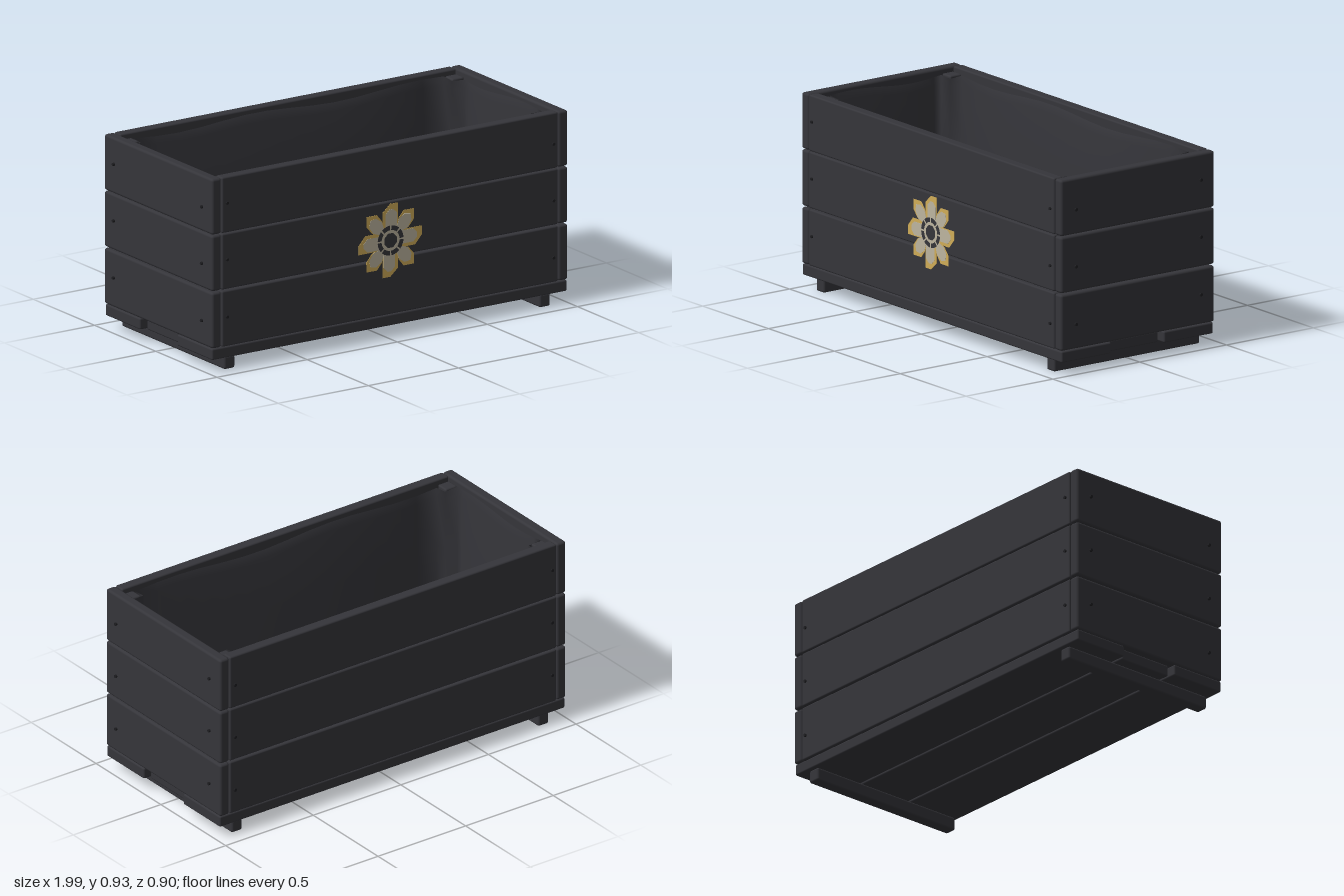
import * as THREE from 'three';
import { RoundedBoxGeometry } from 'three/addons/geometries/RoundedBoxGeometry.js';

const mat = (name, color, side = THREE.FrontSide) => {
  const m = new THREE.MeshStandardMaterial({ color, side });
  m.name = name;
  return m;
};

export function createModel() {
  const wood = mat('charcoal wood', 0x35353a);
  const cloth = mat('liner cloth', 0x35353a, THREE.DoubleSide);
  const metal = mat('screw metal', 0x1e1e21);
  const cream = mat('cream paint', 0xbdb59f);
  const gold = mat('gold paint', 0xd0ac58);
  const model = new THREE.Group();

  const add = (name, geo, material, x = 0, y = 0, z = 0, parent = model) => {
    const mesh = new THREE.Mesh(geo, material);
    mesh.name = name;
    mesh.position.set(x, y, z);
    parent.add(mesh);
    return mesh;
  };
  // Softly rounded board given by its extents
  const board = (name, x0, x1, y0, y1, z0, z1, r = 0.008) =>
    add(name, new RoundedBoxGeometry(x1 - x0, y1 - y0, z1 - z0, 2, r), wood,
      (x0 + x1) / 2, (y0 + y1) / 2, (z0 + z1) / 2);

  // Wall planks in three rows, with two screws in each
  const screw = new THREE.CylinderGeometry(0.007, 0.008, 0.012, 10);
  for (const y0 of [0.118, 0.392, 0.663]) {
    const y1 = y0 + 0.267;
    for (const s of [-1, 1]) {
      const z = s * 0.416, x = s * 0.961;
      board('sidePlank', -0.932, 0.932, y0, y1, z - 0.026, z + 0.026);
      board('endPlank', x - 0.026, x + 0.026, y0, y1, -0.442, 0.442, 0.012);
      for (const t of [-1, 1]) {
        const y = y0 + 0.13 - t * 0.012;
        add('sideScrew', screw, metal, t * 0.905, y, s * 0.443).rotation.x = Math.PI / 2;
        add('endScrew', screw, metal, s * 0.99, y, t * 0.36).rotation.z = Math.PI / 2;
      }
    }
  }

  // Floor boards with open gaps, runners underneath, corner posts inside
  board('floorBoard', -0.985, 0.985, 0.062, 0.116, 0.152, 0.438);
  board('floorBoard', -0.955, 0.955, 0.062, 0.116, -0.141, 0.141);
  board('floorBoard', -0.985, 0.985, 0.062, 0.116, -0.436, -0.152);
  for (const s of [-1, 1]) {
    board('runner', s * 0.875 - 0.03, s * 0.875 + 0.03, 0, 0.063, -0.42, 0.42, 0.01);
    for (const t of [-1, 1]) {
      board('cornerPost', s * 0.902 - 0.032, s * 0.902 + 0.032, 0.118, 0.905,
        t * 0.36 - 0.032, t * 0.36 + 0.032);
    }
  }

  // Cloth liner: notched outline, sagging inward between the posts
  const outline = (inset) => {
    const pts = [], n = 14;
    const side = (ax, az, bx, bz, nx, nz, sag) => {
      for (let i = 0; i <= n; i++) {
        const t = i / n, d = sag * Math.pow(Math.sin(Math.PI * t), 0.6);
        pts.push([ax + (bx - ax) * t - nx * d, az + (bz - az) * t - nz * d]);
      }
    };
    side(-0.86, 0.386, 0.86, 0.386, 0, 1, inset);
    pts.push([0.862, 0.322]);
    side(0.93, 0.32, 0.93, -0.32, 1, 0, inset * 0.6);
    pts.push([0.862, -0.322]);
    side(0.86, -0.386, -0.86, -0.386, 0, -1, inset);
    pts.push([-0.862, -0.322]);
    side(-0.93, -0.32, -0.93, 0.32, -1, 0, inset * 0.6);
    pts.push([-0.862, 0.322]);
    return pts;
  };
  const levels = [[0.9, 0.008], [0.86, 0.022], [0.6, 0.04], [0.3, 0.05], [0.13, 0.06]];
  const pos = [], idx = [];
  const count = outline(0).length;
  levels.forEach(([y, inset], k) => outline(inset).forEach(([x, z], i) => {
    const wave = k < 2 ? 0.012 * Math.sin(x * 7 + z * 9) : 0;
    pos.push(x, y + wave, z);
    if (k === 0) return;
    const j = (i + 1) % count, a = (k - 1) * count, b = k * count;
    idx.push(a + i, a + j, b + i, a + j, b + j, b + i);
  }));
  const liner = new THREE.BufferGeometry();
  liner.setAttribute('position', new THREE.Float32BufferAttribute(pos, 3));
  liner.setIndex(idx);
  liner.computeVertexNormals();
  add('linerWall', liner, cloth);
  const floorShape = new THREE.Shape(outline(0.06).map(([x, z]) => new THREE.Vector2(x, -z)));
  add('linerFloor', new THREE.ShapeGeometry(floorShape).rotateX(-Math.PI / 2), cloth, 0, 0.13, 0);

  // Painted blocky flower on the front, as thin plates
  const flower = new THREE.Group();
  flower.name = 'flower';
  flower.position.set(0, 0.473, 0.4415);
  model.add(flower);
  const U = 0.0053;
  const plate = (name, points, material, z) => {
    const shape = new THREE.Shape(points.map(([x, y]) => new THREE.Vector2(x * U, y * U)));
    add(name, new THREE.ExtrudeGeometry(shape, { depth: 0.002, bevelEnabled: false }),
      material, 0, 0, z, flower);
  };
  const straight = [[-8, 8], [8, 8], [8, 33], [0, 33], [-8, 26]];
  const straightFill = [[-5, 8], [7, 8], [7, 24], [3, 28], [-1, 28], [-5, 24]];
  const diagonal = [[4, 4], [19, 9], [25, 16], [25, 25], [14, 25], [9, 19]];
  const diagonalFill = [[4, 4], [18, 9], [22, 15], [21, 21], [15, 22], [9, 18]];
  const turns = [([x, y]) => [x, y], ([x, y]) => [y, x], ([x, y]) => [-y, -x], ([x, y]) => [-x, -y]];
  const quarters = [[1, 1], [1, -1], [-1, -1], [-1, 1]];
  for (let i = 0; i < 4; i++) {
    const flip = ([x, y]) => [x * quarters[i][0], y * quarters[i][1]];
    plate('petalEdge', straight.map(turns[i]), gold, 0);
    plate('petalEdge', diagonal.map(flip), gold, 0.0003);
    plate('petal', straightFill.map(turns[i]), cream, 0.001);
    plate('petal', diagonalFill.map(flip), cream, 0.0013);
  }
  // Flower centre: broken dark ring, cream ring, dark eye
  const disc = (name, r, material, z) =>
    add(name, new THREE.CircleGeometry(r, 8, Math.PI / 8), material, 0, 0, z, flower);
  disc('flowerBase', 0.074, cream, 0.0038);
  for (let i = 0; i < 8; i++) {
    add('flowerRing', new THREE.RingGeometry(0.05, 0.072, 3, 1, i * Math.PI / 4 + 0.06, 0.66),
      wood, 0, 0, 0.0043, flower);
  }
  disc('flowerEye', 0.037, wood, 0.0043);
  return model;
}
